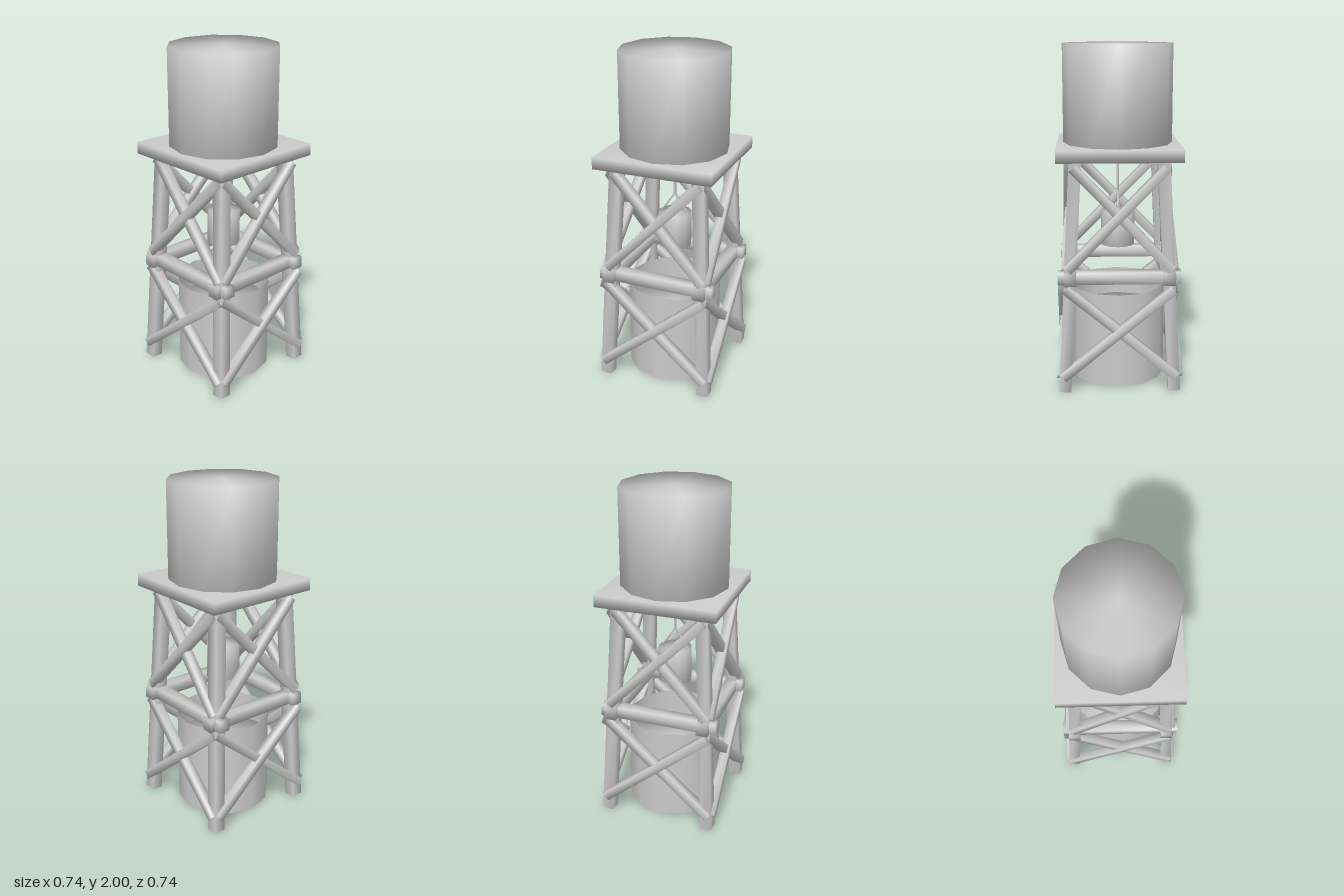
import * as THREE from 'three';
import { mergeVertices } from 'three/addons/utils/BufferGeometryUtils.js';

const material = new THREE.MeshStandardMaterial({ color: 0xcccccc });
const thin = new THREE.MeshStandardMaterial({ color: 0xcccccc, side: THREE.DoubleSide });

// Shares vertices between faces so the shading runs smoothly over the edges
function soften(geometry) {
  geometry.deleteAttribute('normal');
  geometry.deleteAttribute('uv');
  const merged = mergeVertices(geometry);
  merged.computeVertexNormals();
  return merged;
}

function add(parent, name, geometry, mat = material) {
  const mesh = new THREE.Mesh(geometry, mat);
  mesh.name = name;
  parent.add(mesh);
  return mesh;
}

// Square bar from a to b, one side facing roughly along "out"
function bar(parent, name, a, b, size, out = [0, 0, 1]) {
  const start = new THREE.Vector3(...a), end = new THREE.Vector3(...b);
  const dir = end.clone().sub(start);
  const mesh = add(parent, name, soften(new THREE.BoxGeometry(size, dir.length(), size)));
  dir.normalize();
  const side = dir.clone().cross(new THREE.Vector3(...out)).normalize();
  mesh.quaternion.setFromRotationMatrix(
    new THREE.Matrix4().makeBasis(side, dir, side.clone().cross(dir)));
  mesh.position.copy(start).add(end).multiplyScalar(0.5);
  return mesh;
}

function drum(parent, name, radius, bottom, top) {
  const mesh = add(parent, name, soften(new THREE.CylinderGeometry(radius, radius, top - bottom, 12)));
  mesh.position.y = (bottom + top) / 2;
  return mesh;
}

export function createModel() {
  const model = new THREE.Group();
  model.name = 'waterTower';

  // Tank and platform
  drum(model, 'tank', 0.321, 1.43, 2);
  add(model, 'platform', soften(new THREE.BoxGeometry(0.714, 0.07, 0.714))).position.y = 1.395;

  // Four equal sides of the tower frame
  for (let i = 0; i < 4; i++) {
    const side = new THREE.Group();
    side.name = 'frameSide' + (i + 1);
    side.rotation.y = i * Math.PI / 2;
    model.add(side);
    bar(side, 'leg', [0.32, 0.002, 0.32], [0.25, 1.37, 0.25], 0.07);
    bar(side, 'crossBeam', [-0.355, 0.685, 0.285], [0.355, 0.685, 0.285], 0.07);
    // Lower and upper crossed braces
    bar(side, 'lowerBrace', [-0.33, 0.095, 0.343], [0.31, 0.62, 0.327], 0.053);
    bar(side, 'lowerBrace', [0.33, 0.095, 0.343], [-0.31, 0.62, 0.307], 0.053);
    bar(side, 'upperBrace', [-0.3, 0.735, 0.31], [0.265, 1.32, 0.287], 0.053);
    bar(side, 'upperBrace', [0.3, 0.735, 0.31], [-0.265, 1.32, 0.267], 0.053);
  }

  // Well under the tower: a thin wall with a filling set back at both ends
  const wall = add(model, 'wellWall', new THREE.CylinderGeometry(0.285, 0.285, 0.57, 12, 1, true), thin);
  wall.position.y = 0.285;
  drum(model, 'wellFilling', 0.283, 0.08, 0.4);

  // Hanging bucket with its rope and handle
  drum(model, 'bucket', 0.1, 0.81, 1.02);
  bar(model, 'rope', [0, 1.13, 0], [0, 1.37, 0], 0.012);
  for (const s of [-1, 1]) bar(model, 'handle', [s * 0.085, 1.015, 0], [0, 1.14, 0], 0.01);

  return model;
}
